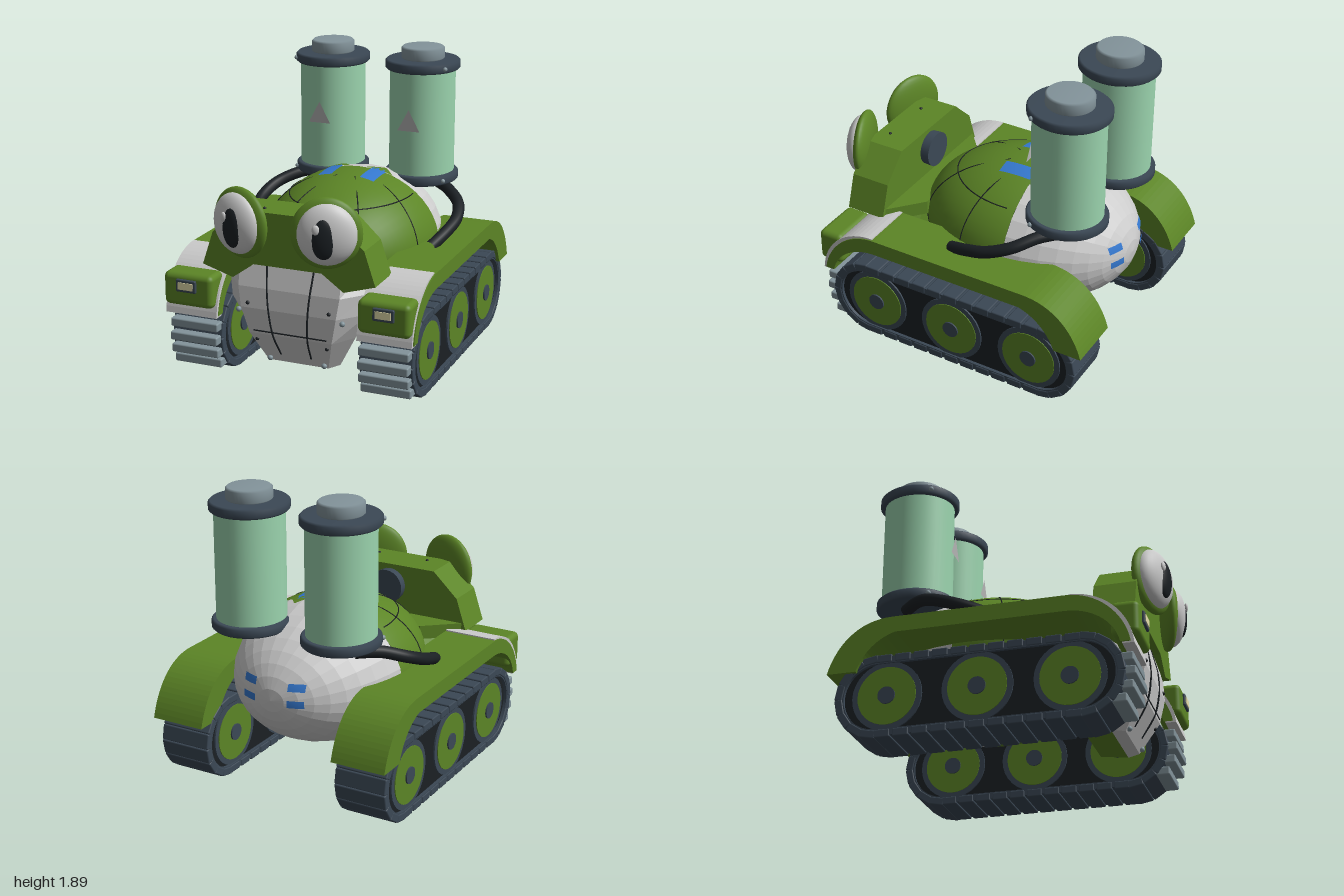
import * as THREE from 'three';
import { RoundedBoxGeometry } from 'three/addons/geometries/RoundedBoxGeometry.js';

const mat = (color, flatShading = false, side = THREE.FrontSide) => new THREE.MeshStandardMaterial({ color, flatShading, side });
const GREEN = mat(0x5c8526), FLAT_GREEN = mat(0x5c8526, true), GREY = mat(0xbdbdbd), FLAT_GREY = mat(0xbdbdbd, true);
const SLATE = mat(0x3b4855), DARK = mat(0x1b2024), STEEL = mat(0x83949b), MINT = mat(0x9bd4ae);
const BLUE = mat(0x3579d0, false, THREE.DoubleSide), PATCH = mat(0x5c8526, false, THREE.DoubleSide);
const WHITE = mat(0xd8d8d8), CREAM = mat(0xe6dfae), BADGE = mat(0xb4b4b4, false, THREE.DoubleSide);
const V = (x, y, z) => new THREE.Vector3(x, y, z);

// Body ellipsoid
const C = V(0, 0.68, -0.22), R = V(0.56, 0.45, 0.71);

export function createModel() {
  const root = new THREE.Group();
  const add = (name, geo, material, x = 0, y = 0, z = 0, parent = root) => {
    const m = new THREE.Mesh(geo, material);
    m.name = name;
    m.position.set(x, y, z);
    parent.add(m);
    return m;
  };
  const ball = (name, material, x, y, z, rx, ry, rz, parent) => {
    const m = add(name, new THREE.SphereGeometry(1, 32, 20), material, x, y, z, parent);
    m.scale.set(rx, ry, rz);
    return m;
  };
  const tube = (name, pts, r, material, n = 32, sides = 6) =>
    add(name, new THREE.TubeGeometry(new THREE.CatmullRomCurve3(pts), n, r, sides), material);
  // Outline in (z, y) extruded across x, centred on x = 0
  const across = (shape, width, curveSegments = 16) =>
    new THREE.ExtrudeGeometry(shape, { depth: width, bevelEnabled: false, curveSegments })
      .rotateY(-Math.PI / 2).translate(width / 2, 0, 0);
  // Solid through horizontal rings, listed bottom to top
  const loft = (rings) => {
    const pos = [], n = rings[0].length;
    const tri = (...p) => p.forEach((v) => pos.push(v.x, v.y, v.z));
    for (let i = 0; i + 1 < rings.length; i++) for (let j = 0; j < n; j++) {
      const k = (j + 1) % n, a = rings[i], b = rings[i + 1];
      tri(a[j], a[k], b[k]);
      tri(a[j], b[k], b[j]);
    }
    const lo = rings[0], hi = rings[rings.length - 1];
    for (let j = 1; j + 1 < n; j++) { tri(lo[0], lo[j + 1], lo[j]); tri(hi[0], hi[j], hi[j + 1]); }
    const g = new THREE.BufferGeometry();
    g.setAttribute('position', new THREE.Float32BufferAttribute(pos, 3));
    g.computeVertexNormals();
    return g;
  };

  // Body: smooth green front, faceted grey rear
  const cut = 1.70;
  const shell = (name, material, w, h, start, length) => add(name,
    new THREE.SphereGeometry(1, w, h, 0, Math.PI * 2, start, length).rotateX(Math.PI / 2).scale(R.x, R.y, R.z), material, C.x, C.y, C.z);
  shell('bodyFront', GREEN, 48, 20, 0, cut);
  shell('bodyRear', FLAT_GREY, 28, 9, cut, Math.PI - cut);

  // Patches laid on the top or back of the body
  const patch = (name, material, axis, u, v, w, h, taper = 0) => {
    const g = new THREE.PlaneGeometry(w, h, 4, 6), p = g.attributes.position;
    for (let i = 0; i < p.count; i++) {
      const x = u + p.getX(i) * (1 - taper * (0.5 + p.getY(i) / h)), t = v - p.getY(i);
      if (axis === 'y') {
        const f = Math.sqrt(1 - (x / R.x) ** 2 - ((t - C.z) / R.z) ** 2);
        p.setXYZ(i, x, C.y + R.y * f + 0.008, t);
      } else {
        const f = Math.sqrt(1 - (x / R.x) ** 2 - ((t - C.y) / R.y) ** 2);
        p.setXYZ(i, x, t, C.z - R.z * f - 0.008);
      }
    }
    g.computeVertexNormals();
    add(name, g, material);
  };
  for (const s of [-1, 1]) {
    patch('topStripe', BLUE, 'y', s * 0.145, -0.21, 0.095, 0.25);
    patch('bodyZigzag', PATCH, 'y', s * 0.15, -0.35, 0.18, 0.11, 0.95);
    for (const y of [0.68, 0.78]) patch('rearLight', BLUE, 'z', s * 0.16, y, 0.1, 0.045);
  }

  // Body panel seams
  const onBody = (a, y) => {
    const k = Math.sqrt(1 - ((y - C.y) / R.y) ** 2);
    return V(Math.sin(a) * R.x * k, y, C.z + Math.cos(a) * R.z * k);
  };
  tube('bodySeam', Array.from({ length: 25 }, (_, i) => onBody((i / 12 - 1) * 1.65, 1)), 0.004, DARK, 60, 5);
  for (const a of [-1.25, -0.55, 0.55, 1.25])
    tube('bodySeam', Array.from({ length: 10 }, (_, i) => onBody(a, 1.12 - i * 0.07)), 0.004, DARK, 30, 5);

  // Head block, neck and rear knob
  const half = [[0.22, 0.78], [0.36, 0.68], [0.56, 0.74], [0.49, 0.95], [0.32, 1.11]];
  const headShape = new THREE.Shape([...half, ...half.map(([x, y]) => [-x, y]).reverse()].map(([x, y]) => new THREE.Vector2(x, y)));
  add('head', new THREE.ExtrudeGeometry(headShape, { depth: 0.26, bevelEnabled: false }), FLAT_GREEN, 0, 0, 0.55);
  const neckRing = (y) => [V(-0.54, y, 0.56), V(0.54, y, 0.56), V(0.32, y, 0.37), V(-0.32, y, 0.37)];
  add('neck', loft([neckRing(0.7), neckRing(0.79)]), FLAT_GREEN);
  add('headKnob', new THREE.CylinderGeometry(0.11, 0.115, 0.08, 24).rotateX(Math.PI / 2), SLATE, 0, 0.97, 0.53);

  // Snout: grey mask on a green jaw; rows of y, front half width, front z, side half width, side z
  const rows = [[0.12, 0.2, 0.66, 0.245, 0.58], [0.33, 0.27, 0.78, 0.36, 0.62], [0.5, 0.31, 0.81, 0.45, 0.64],
    [0.63, 0.33, 0.8, 0.46, 0.64], [0.71, 0.33, 0.78, 0.38, 0.66], [0.79, 0.19, 0.76, 0.22, 0.66]];
  add('snoutMask', loft(rows.map(([y, a, zf, b, zm]) => [V(-a, y, zf), V(a, y, zf), V(b, y, zm), V(-b, y, zm)])), FLAT_GREY);
  add('jaw', loft(rows.map(([y, , , b, zm]) => [V(-b, y, zm), V(b, y, zm), V(b * 0.75, y, 0.42), V(-b * 0.75, y, 0.42)])), FLAT_GREEN);
  const maskZ = (y) => {
    const i = Math.max(1, rows.findIndex((r) => r[0] >= y)), a = rows[i - 1], b = rows[i];
    return a[2] + (b[2] - a[2]) * (y - a[0]) / (b[0] - a[0]);
  };
  tube('snoutSeam', [V(-0.24, 0.35, maskZ(0.35)), V(0.24, 0.35, maskZ(0.35))], 0.005, DARK, 4);
  for (const s of [-1, 1]) {
    tube('snoutSeam', [0.18, 0.33, 0.5, 0.63, 0.71, 0.78].map((y) => V(s * (0.1 + (y - 0.18) * 0.09), y, maskZ(y))), 0.006, DARK);
    for (const [x, y, z] of [[0.34, 0.715, 0.77], [0.34, 0.47, 0.78], [0.18, 0.14, 0.68]])
      ball('snoutBolt', STEEL, s * x, y, z, 0.017, 0.017, 0.017);
    for (const [x, y] of [[0.265, 0.53], [0.23, 0.285]]) ball('snoutRivet', DARK, s * x, y, maskZ(y), 0.012, 0.012, 0.012);
    ball('headRivet', DARK, s * 0.18, 1.11, 0.73, 0.01, 0.01, 0.01);
  }

  // Track and fender outlines
  const stadium = (r) => {
    const sh = new THREE.Shape();
    sh.absarc(0.53, 0.26, r, -Math.PI / 2, Math.PI / 2);
    sh.absarc(-0.69, 0.26, r, Math.PI / 2, Math.PI * 1.5);
    return sh;
  };
  const band = stadium(0.247);
  band.holes.push(stadium(0.205));
  const fender = new THREE.Shape();
  fender.moveTo(-1, 0.42);
  fender.bezierCurveTo(-0.95, 0.6, -0.82, 0.75, -0.6, 0.75);
  fender.lineTo(0.45, 0.75);
  fender.bezierCurveTo(0.64, 0.75, 0.8, 0.6, 0.83, 0.42);
  fender.lineTo(0.77, 0.42);
  fender.bezierCurveTo(0.74, 0.56, 0.6, 0.65, 0.45, 0.65);
  fender.lineTo(-0.58, 0.65);
  fender.quadraticCurveTo(-0.75, 0.6, -0.82, 0.42);
  const cover = new THREE.Shape();
  cover.moveTo(0.47, 0.757);
  cover.bezierCurveTo(0.66, 0.757, 0.83, 0.62, 0.85, 0.41);
  cover.lineTo(0.78, 0.41);
  cover.bezierCurveTo(0.76, 0.56, 0.62, 0.69, 0.47, 0.7);
  const badge = new THREE.Shape([[-0.075, -0.05], [0.075, -0.05], [0, 0.09]].map(([x, y]) => new THREE.Vector2(x, y)));

  for (const s of [-1, 1]) {
    // Track
    const track = new THREE.Group();
    track.name = s > 0 ? 'leftTrack' : 'rightTrack';
    track.position.x = s * 0.62;
    root.add(track);
    add('trackBand', across(band, 0.33), SLATE, 0, 0, 0, track);
    add('trackPlate', across(stadium(0.21), 0.29), DARK, 0, 0, 0, track);
    const shoe = new RoundedBoxGeometry(0.34, 0.05, 0.098, 1, 0.008);
    for (let i = 0; i < 11; i++) for (const y of [0.025, 0.495])
      add('trackShoe', shoe, SLATE, 0, y, 0.49 - i * 0.114, track);
    for (let i = 0; i < 8; i++) for (const [z, dir] of [[0.53, 1], [-0.69, -1]]) {
      const a = (i - 3.5) * Math.PI / 8;
      add('trackShoe', shoe, SLATE, 0, 0.26 + 0.235 * Math.sin(a), z + dir * 0.235 * Math.cos(a), track).rotation.x = Math.PI / 2 - dir * a;
    }
    for (const deg of [17, -1, -19, -37]) {
      const a = deg * Math.PI / 180;
      add('frontCleat', new RoundedBoxGeometry(0.32, 0.055, 0.09, 2, 0.01), STEEL, 0, 0.26 + 0.275 * Math.sin(a), 0.53 + 0.275 * Math.cos(a), track);
    }
    // Road wheels
    for (const z of [0.47, -0.08, -0.63]) {
      const disc = (name, r, w, m) => add(name, new THREE.CylinderGeometry(r, r, w, 32).rotateZ(Math.PI / 2), m, 0, 0.26, z, track);
      disc('wheelRim', 0.215, 0.31, SLATE);
      disc('wheelDisc', 0.18, 0.32, GREEN);
      disc('wheelHub', 0.053, 0.34, SLATE);
    }
    // Fender and headlamp
    add('fender', across(fender, 0.355), GREEN, s * 0.633, 0, 0);
    add('fenderCover', across(cover, 0.345), GREY, s * 0.63, 0, 0);
    add('lampHousing', new RoundedBoxGeometry(0.33, 0.21, 0.17, 4, 0.035), GREEN, s * 0.635, 0.575, 0.795);
    add('lampFrame', new RoundedBoxGeometry(0.135, 0.08, 0.03, 2, 0.008), SLATE, s * 0.64, 0.607, 0.88);
    add('lampLight', new THREE.BoxGeometry(0.1, 0.045, 0.02), CREAM, s * 0.64, 0.607, 0.89);

    // Eye, turned outward
    const eye = new THREE.Group();
    eye.name = s > 0 ? 'leftEye' : 'rightEye';
    eye.position.set(s * 0.275, 1.05, 0.86);
    eye.rotation.y = s * 0.33;
    root.add(eye);
    ball('eyeSocket', GREEN, 0, 0, 0, 0.212, 0.217, 0.06, eye);
    ball('eyeball', WHITE, s * 0.005, 0, 0.025, 0.178, 0.187, 0.085, eye);
    ball('pupil', DARK, -s * 0.01, -0.01, 0.082, 0.078, 0.125, 0.035, eye);
    ball('eyeGlint', WHITE, -s * 0.01 - 0.045, 0.05, 0.108, 0.022, 0.03, 0.012, eye);

    // Tank with flanges, cap and badge
    const tank = new THREE.Group();
    tank.name = s > 0 ? 'leftTank' : 'rightTank';
    tank.position.set(s * 0.315, 0, -0.63);
    tank.scale.z = 1.06;
    root.add(tank);
    add('tankGlass', new THREE.CylinderGeometry(0.212, 0.212, 0.72, 40), MINT, 0, 1.4, 0, tank);
    const flange = (name, r, h, m, y) => {
      const b = 0.012, pts = [[0, 0], [r - b, 0], [r, b], [r, h - b], [r - b, h], [0, h]].map(([x, t]) => new THREE.Vector2(x, t));
      add(name, new THREE.LatheGeometry(pts, 40), m, 0, y, 0, tank);
    };
    flange('tankBase', 0.24, 0.065, SLATE, 1.005);
    flange('tankTop', 0.241, 0.065, SLATE, 1.74);
    flange('tankCap', 0.14, 0.085, STEEL, 1.8);
    for (const y of [1.035, 1.77]) ball('tankBolt', STEEL, s * 0.2, y, 0.135, 0.015, 0.015, 0.015, tank);
    add('tankBadge', new THREE.ShapeGeometry(badge), BADGE, s * 0.31, 1.42, -0.385);

    // Hose from tank to fender
    tube('hose', [[0.42, 0.98, -0.66], [0.53, 0.97, -0.55], [0.64, 0.92, -0.43], [0.68, 0.86, -0.28], [0.66, 0.81, -0.14], [0.61, 0.75, 0.01]]
      .map(([x, y, z]) => V(s * x, y, z)), 0.038, DARK, 40, 14);
  }
  return root;
}
